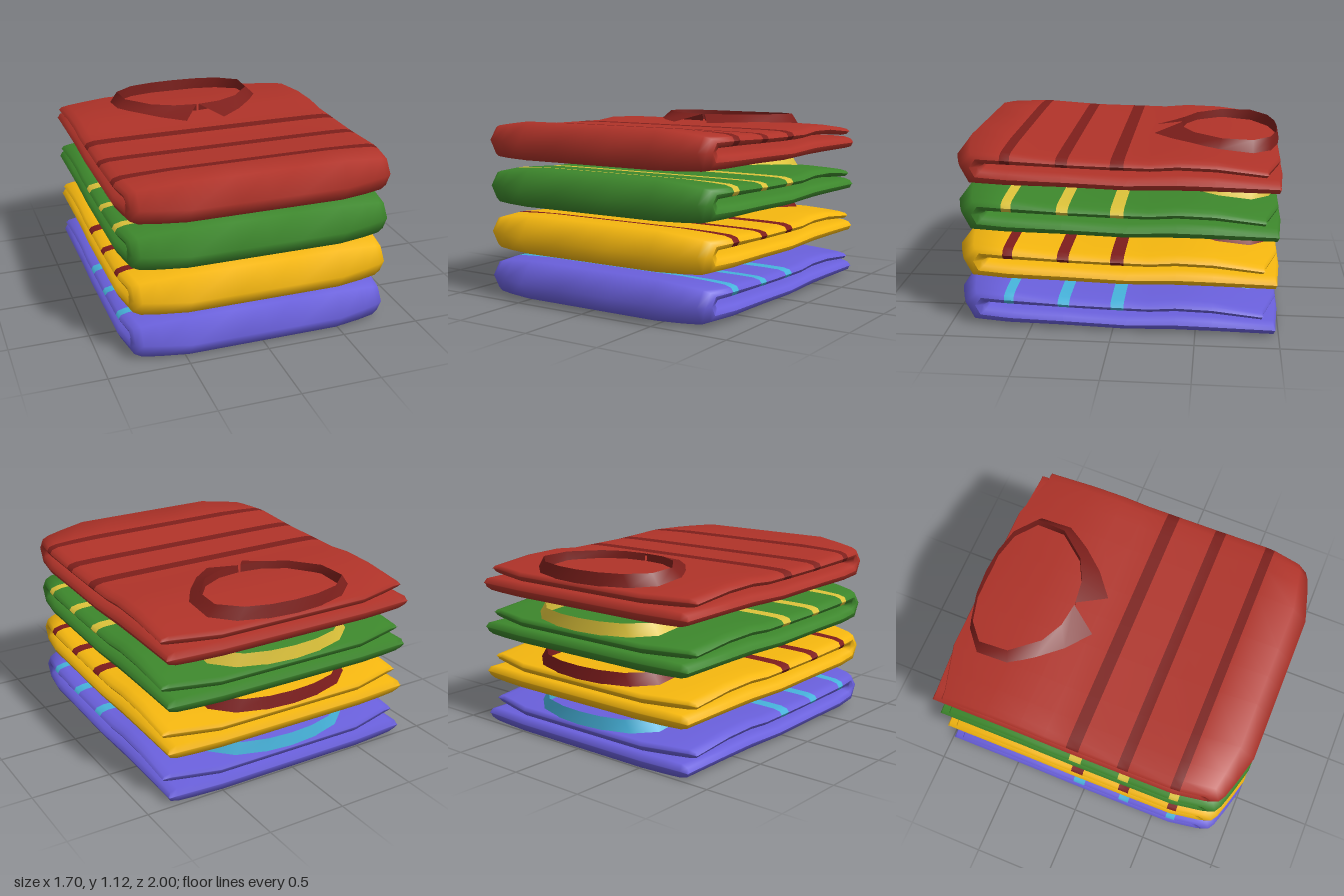
import * as THREE from 'three';

// Folded cloth profile: outer z, outer y, inner z, inner y, from lower back round the front fold to upper back
const PROFILE = [
  [-1, 0.05, -1, 0.055], [-0.99, 0.01, -0.985, 0.1], [-0.6, 0.014, -0.6, 0.11], [-0.38, 0.014, -0.38, 0.115],
  [-0.05, 0.008, -0.1, 0.1], [0.3, 0.018, 0.3, 0.113], [0.65, 0.02, 0.6, 0.123], [0.92, 0.022, 0.765, 0.128],
  [1, 0.13, 0.775, 0.137], [0.9, 0.26, 0.765, 0.146], [0.66, 0.238, 0.66, 0.146], [0.6, 0.231, 0.6, 0.145],
  [0.33, 0.208, 0.33, 0.139], [0.26, 0.204, 0.26, 0.137], [0.01, 0.2, 0.01, 0.13], [-0.07, 0.199, -0.07, 0.129],
  [-0.22, 0.196, -0.22, 0.127], [-0.38, 0.21, -0.38, 0.138], [-0.6, 0.203, -0.6, 0.133],
  [-0.975, 0.165, -0.97, 0.108], [-0.985, 0.14, -0.985, 0.135],
];
const STRIPES = [10, 12, 14]; // profile segments that carry a stripe
const LOWER = 8;              // profile entries before the fold tip

// Columns across the width: x, thickness factor
const HALF = [[0.2, 1], [0.5, 1], [0.68, 0.98], [0.79, 0.9], [0.835, 0.6], [0.85, 0]];
const COLUMNS = [...HALF.map(([x, f]) => [-x, f]).reverse(), [0, 1], ...HALF];

const clamp = THREE.MathUtils.clamp;

// Rounds off the corners of the folded cloth
function place(x, y, z, upper) {
  const t = clamp((Math.abs(x) - 0.5) / 0.3, 0, 1);
  const front = clamp((z - 0.55) / 0.3, 0, 1);
  const back = clamp((-z - 0.6) / 0.38, 0, 1);
  const px = x * (1 - 0.04 * front * front);
  const py = y > 0.135 ? y - (y - 0.135) * 0.28 * t * front : y;
  const pz = z - Math.max(0, z - 0.75) * 0.3 * t + back * t * (upper ? 0.08 : 0.02);
  return [px, py, pz];
}

// Cloth and stripes share vertices so shading runs on smoothly
function clothGeometries() {
  const n = PROFILE.length, ring = 2 * n;
  const pos = [], cloth = [], stripe = [];
  for (const [x, f] of COLUMNS) {
    for (let j = 0; j < ring; j++) {
      const k = j < n ? j : ring - 1 - j;
      const [oz, oy, iz, iy] = PROFILE[k];
      const s = j < n ? f : -f;
      const y = (oy + iy) / 2 + (oy - iy) / 2 * s;
      const z = (oz + iz) / 2 + (oz - iz) / 2 * s;
      pos.push(...place(x, y, z, k > LOWER));
    }
  }
  for (let i = 0; i < COLUMNS.length - 1; i++) {
    for (let j = 0; j < ring; j++) {
      const j2 = (j + 1) % ring;
      const a = i * ring + j, b = a + ring, c = (i + 1) * ring + j2, d = i * ring + j2;
      const seg = j < n ? j : ring - 2 - j;
      (STRIPES.includes(seg) ? stripe : cloth).push(a, b, c, a, c, d);
    }
  }
  const whole = new THREE.BufferGeometry();
  whole.setAttribute('position', new THREE.Float32BufferAttribute(pos, 3));
  whole.setIndex([...cloth, ...stripe]);
  whole.computeVertexNormals();
  return [cloth, stripe].map((index) => {
    const g = new THREE.BufferGeometry();
    g.setAttribute('position', whole.getAttribute('position'));
    g.setAttribute('normal', whole.getAttribute('normal'));
    g.setIndex(index);
    return g;
  });
}

// Turned-down collar: outer edge, folded top edge and inner foot, one half mirrored
function collarGeometry() {
  const outer = [[0.13, 0.207, -0.2], [0.28, 0.21, -0.32], [0.4, 0.21, -0.46], [0.5, 0.2, -0.61],
    [0.5, 0.18, -0.82], [0.37, 0.168, -0.93], [0.18, 0.163, -0.98]];
  const top = [[0.008, 0.256, -0.37], [0.16, 0.257, -0.39], [0.3, 0.257, -0.46], [0.44, 0.255, -0.63],
    [0.45, 0.25, -0.82], [0.32, 0.245, -0.93], [0.16, 0.242, -0.97]];
  const foot = top.map(([x, , z]) => [x * 0.99, z < -0.7 ? 0.16 : 0.195, z - 0.005]);
  const backs = [[0, 0.162, -0.995], [0, 0.241, -0.98], [0, 0.155, -0.975]];
  const rows = [outer, top, foot].map((row, r) =>
    [...row, backs[r], ...row.map(([x, y, z]) => [-x, y, z]).reverse()]);
  const pos = [], index = [], n = rows[0].length;
  // The top row is doubled to keep the fold crisp
  for (const row of [rows[0], rows[1], rows[1], rows[2]]) pos.push(...row.flat());
  for (const r of [0, 2]) {
    for (let i = 0; i < n - 1; i++) {
      const a = r * n + i, b = a + 1, c = b + n, d = a + n;
      index.push(a, b, c, a, c, d);
    }
  }
  const g = new THREE.BufferGeometry();
  g.setAttribute('position', new THREE.Float32BufferAttribute(pos, 3));
  g.setIndex(index);
  g.computeVertexNormals();
  return g;
}

export function createModel() {
  const model = new THREE.Group();
  model.name = 'foldedShirtStack';
  const [clothGeo, stripeGeo] = clothGeometries();
  const collarGeo = collarGeometry();

  // Name, base height, cloth colour, accent colour
  const shirts = [
    ['blueShirt', -0.005, 0x6a60dc, 0x46b2da],
    ['yellowShirt', 0.282, 0xf5b70f, 0x7d1c1c],
    ['greenShirt', 0.577, 0x3d872c, 0xdcc23a],
    ['redShirt', 0.867, 0xb03329, 0x7d1f1b],
  ];
  for (const [name, y, color, accent] of shirts) {
    const shirt = new THREE.Group();
    shirt.name = name;
    shirt.position.y = y;
    const main = new THREE.MeshStandardMaterial({ color, side: THREE.DoubleSide });
    const trim = new THREE.MeshStandardMaterial({ color: accent, side: THREE.DoubleSide });
    for (const [part, geo, mat] of [['cloth', clothGeo, main], ['stripes', stripeGeo, trim], ['collar', collarGeo, trim]]) {
      const mesh = new THREE.Mesh(geo, mat);
      mesh.name = part;
      shirt.add(mesh);
    }
    model.add(shirt);
  }
  return model;
}
